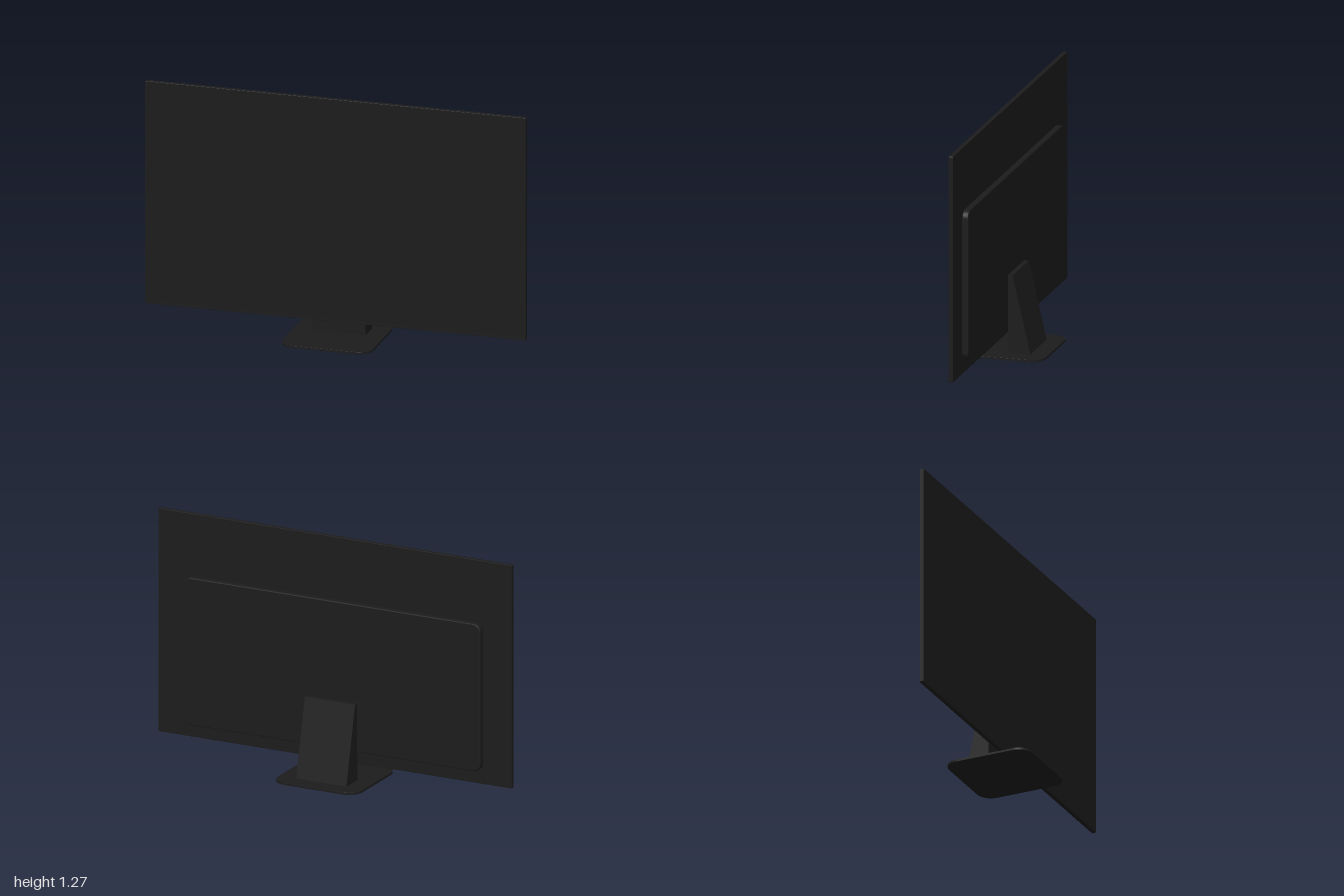
import * as THREE from 'three';

// Rounded rectangle centred on the origin
function roundedRect(w, h, r) {
  const x = w / 2, y = h / 2, s = new THREE.Shape();
  s.moveTo(-x + r, -y);
  s.lineTo(x - r, -y);
  s.absarc(x - r, -y + r, r, -Math.PI / 2, 0);
  s.lineTo(x, y - r);
  s.absarc(x - r, y - r, r, 0, Math.PI / 2);
  s.lineTo(-x + r, y);
  s.absarc(-x + r, y - r, r, Math.PI / 2, Math.PI);
  s.lineTo(-x, -y + r);
  s.absarc(-x + r, -y + r, r, Math.PI, Math.PI * 1.5);
  return s;
}

// Slab of full size w x h x d, centred in depth, with small bevelled rims
function slab(w, h, d, r, bevel) {
  const g = new THREE.ExtrudeGeometry(roundedRect(w - 2 * bevel, h - 2 * bevel, r), {
    depth: d - 2 * bevel, bevelThickness: bevel, bevelSize: bevel, bevelSegments: 2, curveSegments: 8,
  });
  return g.translate(0, 0, bevel - d / 2);
}

export function createModel() {
  const model = new THREE.Group();
  const casing = new THREE.MeshStandardMaterial({ name: 'black casing', color: 0x1c1c1c });
  const glass = new THREE.MeshStandardMaterial({ name: 'screen black', color: 0x1b1b1b });

  const add = (name, geometry, material, x, y, z) => {
    const mesh = new THREE.Mesh(geometry, material);
    mesh.name = name;
    mesh.position.set(x, y, z);
    model.add(mesh);
    return mesh;
  };

  // Thin display panel with its screen plate
  add('panel', slab(2, 1.182, 0.023, 0.004, 0.002), casing, 0, 0.679, 0.0165);
  add('screen', new THREE.BoxGeometry(1.985, 1.16, 0.002), glass, 0, 0.684, 0.028);

  // Raised electronics housing on the back
  add('backHousing', slab(1.676, 0.782, 0.034, 0.035, 0.006), casing, 0, 0.549, -0.009);

  // Wedge-shaped neck, profile drawn as (-z, y) and extruded across x
  const profile = new THREE.Shape([
    new THREE.Vector2(0.025, 0.008), new THREE.Vector2(0.145, 0.008),
    new THREE.Vector2(0.05, 0.418), new THREE.Vector2(0.025, 0.418),
  ]);
  const neck = new THREE.ExtrudeGeometry(profile, { depth: 0.284, bevelEnabled: false });
  neck.translate(0, 0, -0.142).rotateY(Math.PI / 2);
  add('standNeck', neck, casing, 0, 0, 0);

  // Flat rounded foot plate
  const foot = slab(0.478, 0.466, 0.012, 0.075, 0.001).rotateX(-Math.PI / 2);
  add('standBase', foot, casing, 0, 0.006, 0);

  return model;
}
